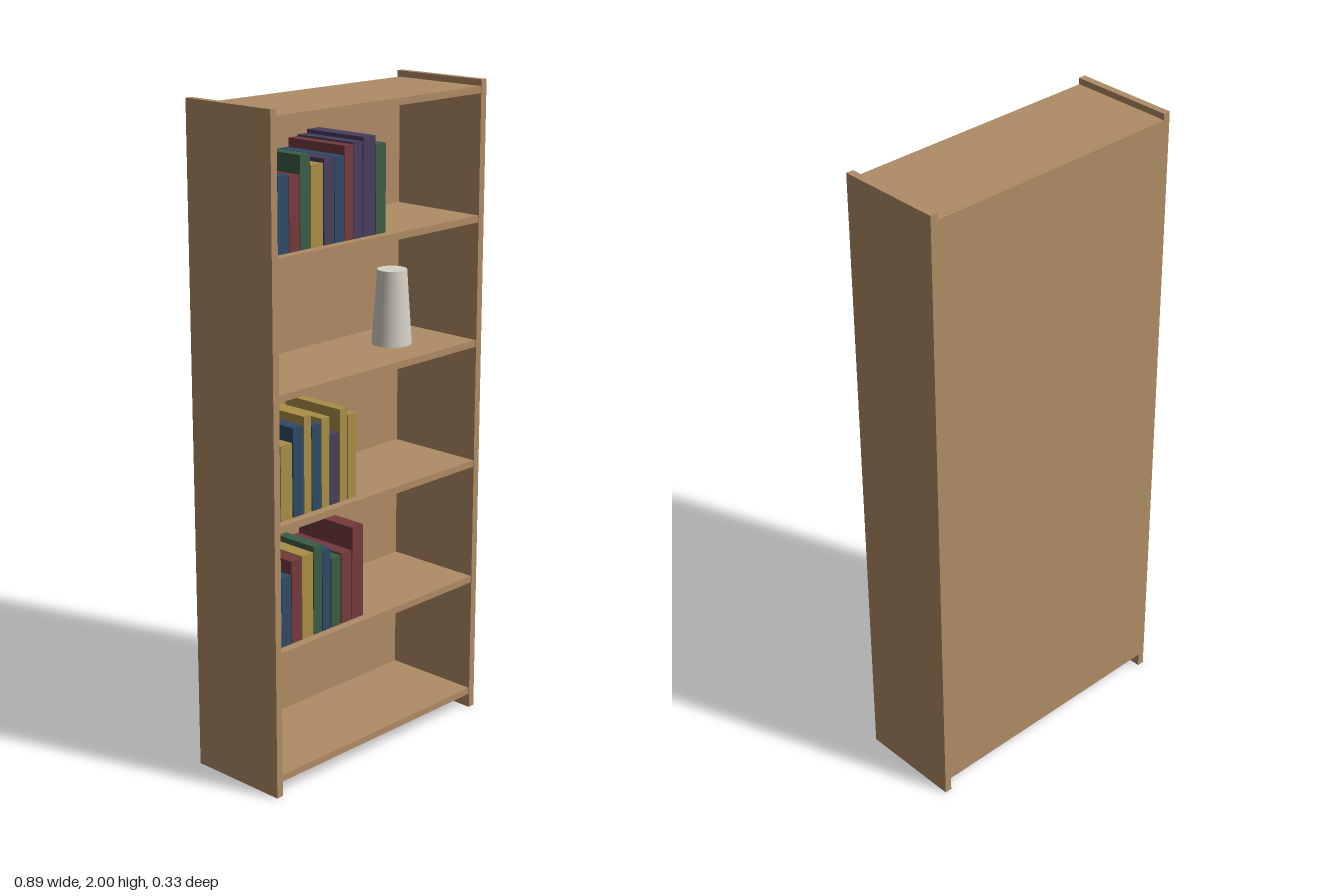
import * as THREE from 'three';

const mat = (color) => new THREE.MeshStandardMaterial({ color });
const wood = mat(0xb08c66);
const covers = {
  b: mat(0x2f4a68), r: mat(0x743a3c), g: mat(0x3c5c46),
  y: mat(0xaa8e46), p: mat(0x483e5c),
};

// Box given by its lower and upper bounds on each axis
function box(name, material, [x0, x1], [y0, y1], [z0, z1]) {
  const mesh = new THREE.Mesh(new THREE.BoxGeometry(x1 - x0, y1 - y0, z1 - z0), material);
  mesh.position.set((x0 + x1) / 2, (y0 + y1) / 2, (z0 + z1) / 2);
  mesh.name = name;
  return mesh;
}

// Each book: cover, left edge, right edge, height
const bookRows = [
  { shelf: 1, books: [
    ['b', -0.389, -0.35, 0.212], ['r', -0.347, -0.308, 0.252], ['y', -0.305, -0.26, 0.257],
    ['g', -0.257, -0.223, 0.273], ['b', -0.22, -0.188, 0.252], ['g', -0.183, -0.145, 0.217],
    ['r', -0.14, -0.098, 0.22], ['r', -0.095, -0.048, 0.289]] },
  { shelf: 2, books: [
    ['y', -0.387, -0.342, 0.223], ['b', -0.337, -0.297, 0.265], ['y', -0.294, -0.265, 0.289],
    ['b', -0.262, -0.225, 0.255], ['y', -0.223, -0.191, 0.268], ['p', -0.188, -0.151, 0.212],
    ['y', -0.148, -0.117, 0.279], ['y', -0.114, -0.079, 0.255]] },
  { shelf: 4, books: [
    ['b', -0.389, -0.348, 0.214], ['r', -0.346, -0.306, 0.209], ['g', -0.304, -0.265, 0.262],
    ['y', -0.262, -0.215, 0.23], ['p', -0.21, -0.171, 0.241], ['b', -0.168, -0.13, 0.241],
    ['r', -0.128, -0.093, 0.267], ['p', -0.091, -0.056, 0.272], ['p', -0.053, -0.003, 0.283],
    ['g', 0, 0.041, 0.257]] },
];

export function createModel() {
  const model = new THREE.Group();
  model.name = 'bookcase';
  const shelfTop = (i) => 0.066 + 0.383 * i;

  // Side panels and back panel
  model.add(box('leftSide', wood, [0.42, 0.443], [0, 2], [-0.165, 0.165]));
  model.add(box('rightSide', wood, [-0.443, -0.42], [0, 2], [-0.165, 0.165]));
  model.add(box('backPanel', wood, [-0.42, 0.42], [0.046, 1.98], [-0.165, -0.155]));

  // Bottom board, four shelves and top board
  for (let i = 0; i < 6; i++) {
    const y = shelfTop(i);
    model.add(box('shelf', wood, [-0.42, 0.42], [y - 0.021, y], [-0.155, 0.163]));
  }

  // Rows of books
  for (const { shelf, books } of bookRows) {
    const row = new THREE.Group();
    row.name = 'bookRow';
    const y = shelfTop(shelf);
    for (const [cover, x0, x1, h] of books) {
      row.add(box('book', covers[cover], [x0, x1], [y, y + h], [-0.085, 0.135]));
    }
    model.add(row);
  }

  // Tapered vase
  const vase = new THREE.Mesh(new THREE.CylinderGeometry(0.045, 0.061, 0.228, 32), mat(0xd6d2c8));
  vase.name = 'vase';
  vase.position.set(0.22, shelfTop(3) + 0.114, 0);
  model.add(vase);

  return model;
}
